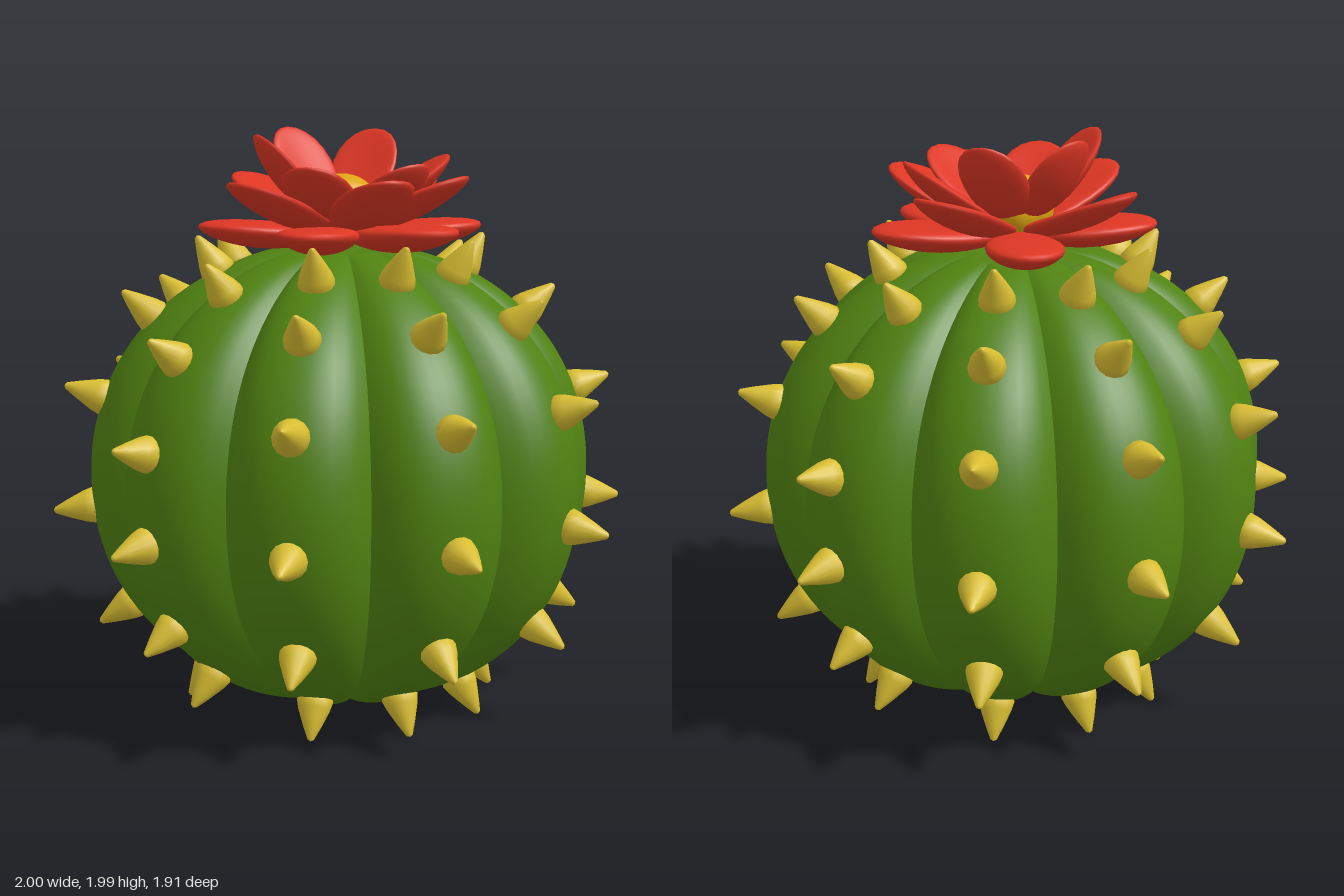
import * as THREE from 'three';
import { toCreasedNormals } from 'three/addons/utils/BufferGeometryUtils.js';

const RAD = Math.PI / 180;
const RIBS = 10, MID_Y = 0.81, HALF_H = 0.8, RADIUS = 0.87, POWER = 2.1;

const mat = (name, color) => {
  const m = new THREE.MeshStandardMaterial({ color });
  m.name = name;
  return m;
};

// Radius of a rib's ridge at u = -1 (bottom) .. 1 (top)
const ridge = (u) => RADIUS * Math.pow(Math.max(0, 1 - Math.pow(Math.abs(u), POWER)), 1 / POWER);

// Apply a rule to every vertex of a geometry
function reshape(geometry, rule) {
  const p = geometry.attributes.position, v = new THREE.Vector3();
  for (let i = 0; i < p.count; i++) {
    rule(v.fromBufferAttribute(p, i));
    p.setXYZ(i, v.x, v.y, v.z);
  }
  geometry.computeVertexNormals();
  return geometry;
}

// Ribbed body with sharp grooves and dimpled poles
function bodyGeometry() {
  const g = reshape(new THREE.SphereGeometry(1, 120, 56), (v) => {
    const a = Math.atan2(v.z, v.x), turn = a / (2 * Math.PI) * RIBS;
    const s = Math.abs(turn - Math.round(turn)) * 2;
    const u = THREE.MathUtils.clamp(v.y, -1, 1);
    const depth = 0.13 + 0.1 * Math.pow(Math.abs(u), 4);
    const base = ridge(u), r = base * (1 - depth * Math.pow(s, 2.5));
    const dimple = 0.05 * Math.exp(-Math.pow(base / 0.13, 2));
    v.set(r * Math.cos(a), MID_Y + HALF_H * u - Math.sign(u) * dimple, r * Math.sin(a));
  });
  return toCreasedNormals(g, 0.7);
}

// Petal lying along +x from the origin, cupped upwards
function petalGeometry(length, width, thick, cup) {
  return reshape(new THREE.SphereGeometry(1, 24, 16), (v) => {
    const t = (v.x + 1) / 2;
    const z = v.z * width / 2 * (0.72 + 0.5 * t - 0.12 * t * t);
    const y = v.y * thick / 2 + cup * (z * z * 4 + (t - 0.5) * (t - 0.5) * 0.25);
    v.set(length * t, y, z);
  });
}

export function createModel() {
  const green = mat('cactus green', 0x508211);
  const straw = mat('spine yellow', 0xd8bd31);
  const red = mat('petal red', 0xdd3623);
  const gold = mat('flower gold', 0xdca50f);

  const model = new THREE.Group();
  model.name = 'floweringCactus';
  const add = (parent, name, geometry, material) => {
    const m = new THREE.Mesh(geometry, material);
    m.name = name;
    parent.add(m);
    return m;
  };

  add(model, 'ribbedBody', bodyGeometry(), green);

  // Spines: one column along each rib, two ribs set a little lower
  const spines = new THREE.Group();
  spines.name = 'spines';
  model.add(spines);
  const spineGeo = new THREE.LatheGeometry(
    [[0, -0.035], [0.05, -0.03], [0.062, 0], [0.054, 0.03], [0.032, 0.085], [0.011, 0.132], [0, 0.138]]
      .map(([x, y]) => new THREE.Vector2(x, y)), 14);
  const levels = [1.52, 1.365, 1.09, 0.71, 0.36, 0.12];
  const lowLevels = [1.47, 1.28, 0.99, 0.69, 0.39, 0.2];
  for (let i = 0; i < RIBS; i++) {
    const a = i * 2 * Math.PI / RIBS;
    for (const y of (i === 3 || i === 8) ? lowLevels : levels) {
      const r = ridge((y - MID_Y) / HALF_H);
      const spine = add(spines, 'spine', spineGeo, straw);
      spine.position.set(r * Math.cos(a), y, r * Math.sin(a));
      spine.rotation.set(0, -a, Math.atan2(y - MID_Y, r) - Math.PI / 2);
    }
  }

  // Flower: three layers of petals, each petal as [direction, tilt] in degrees
  const flower = new THREE.Group();
  flower.name = 'flower';
  model.add(flower);
  const layers = [
    { name: 'lowerPetal', y: 1.625, start: 0.03, geo: petalGeometry(0.46, 0.27, 0.09, 0.3),
      petals: [[13, 3], [76, 3], [147, 3], [238, 3], [323, 3]] },
    { name: 'middlePetal', y: 1.635, start: 0.03, geo: petalGeometry(0.48, 0.27, 0.07, 0.4),
      petals: [[190, 21], [110, 21], [282, 21], [357, 23], [40, 23]] },
    { name: 'upperPetal', y: 1.66, start: 0.05, geo: petalGeometry(0.41, 0.25, 0.06, 0.5),
      petals: [[200, 50], [265, 48], [318, 32], [20, 30], [78, 29], [130, 47]] },
  ];
  for (const { name, y, start, geo, petals } of layers) {
    for (const [dir, tilt] of petals) {
      const a = dir * RAD;
      const petal = add(flower, name, geo, red);
      petal.position.set(start * Math.cos(a), y, start * Math.sin(a));
      petal.rotation.set(0, -a, tilt * RAD);
    }
  }

  // Softly lobed flower centre
  const centre = add(flower, 'flowerCentre', reshape(new THREE.SphereGeometry(1, 36, 18), (v) => {
    const a = Math.atan2(v.z, v.x), k = 0.132 * (1 + 0.05 * Math.cos(6 * a) * (1 - v.y * v.y));
    v.set(v.x * k, v.y * 0.11, v.z * k);
  }), gold);
  centre.position.y = 1.735;

  return model;
}
